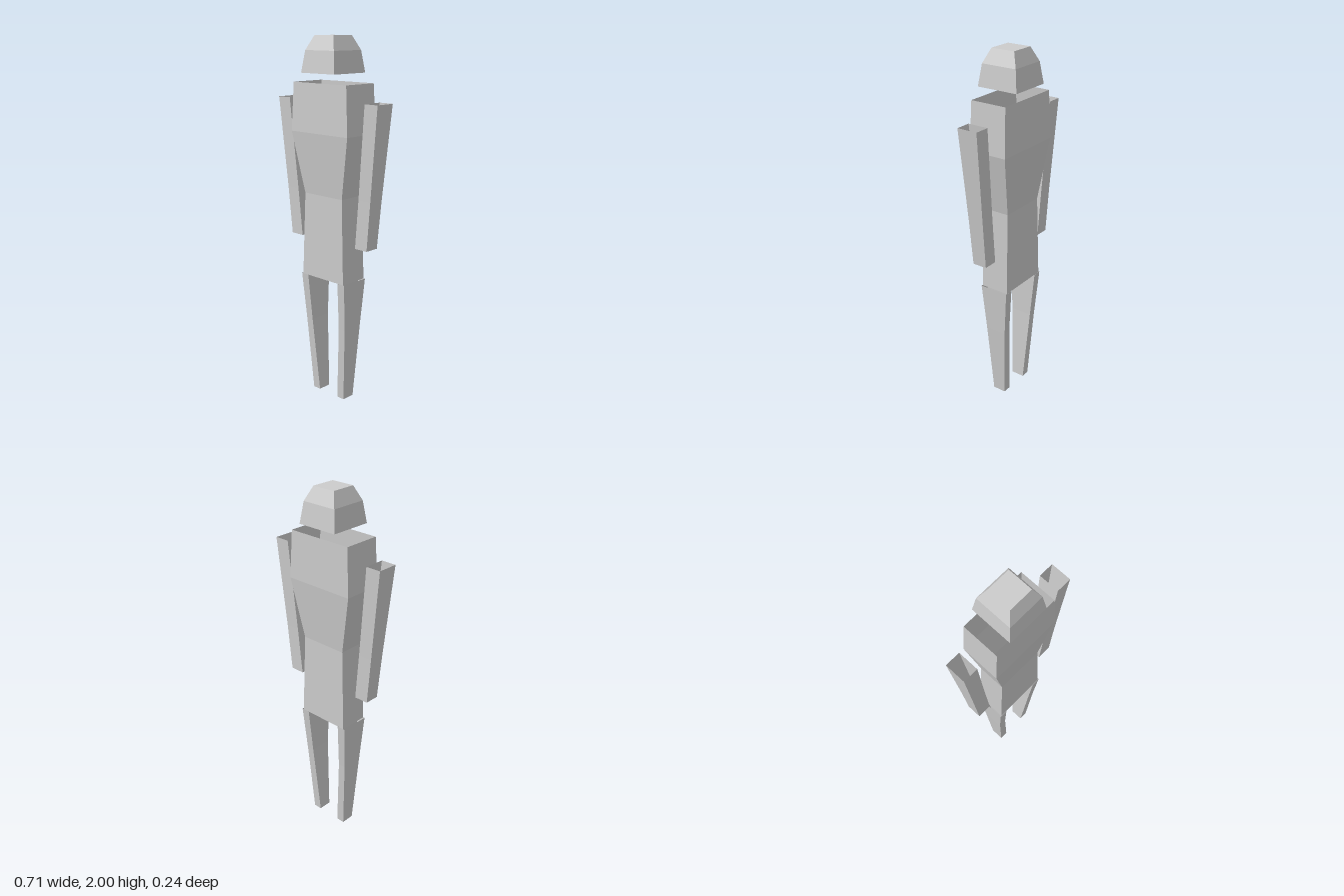
import * as THREE from 'three';

const material = new THREE.MeshStandardMaterial({ color: 0xcccccc, flatShading: true, side: THREE.DoubleSide });

// Square-section shell through rings [y, xMin, xMax, halfDepth], listed bottom to top
function shell(name, rings, capTop = false) {
  const corners = rings.map(([y, x0, x1, d]) => [[x0, y, d], [x1, y, d], [x1, y, -d], [x0, y, -d]]);
  const pos = [];
  const quad = (a, b, c, d) => pos.push(...a, ...b, ...c, ...a, ...c, ...d);
  for (let r = 0; r < corners.length - 1; r++) {
    const lo = corners[r], hi = corners[r + 1];
    for (let i = 0; i < 4; i++) {
      const j = (i + 1) % 4;
      quad(lo[i], lo[j], hi[j], hi[i]);
    }
  }
  if (capTop) quad(...corners[corners.length - 1]);
  const geo = new THREE.BufferGeometry();
  geo.setAttribute('position', new THREE.Float32BufferAttribute(pos, 3));
  geo.computeVertexNormals();
  const mesh = new THREE.Mesh(geo, material);
  mesh.name = name;
  return mesh;
}

const centred = (rings) => rings.map(([y, w, d]) => [y, -w, w, d]);
const mirrored = (rings) => rings.map(([y, x0, x1, d]) => [y, -x1, -x0, d]);

export function createModel() {
  const model = new THREE.Group();
  model.name = 'figure';

  // Head: closed crown, open neck
  model.add(shell('head', centred([
    [1.81, 0.118, 0.118], [1.925, 0.102, 0.102], [2.0, 0.068, 0.068],
  ]), true));

  // Torso: hips, waist, chest, shoulders; open at both ends
  model.add(shell('torso', centred([
    [0.70, 0.152, 0.083], [1.165, 0.136, 0.077], [1.5, 0.203, 0.11], [1.76, 0.189, 0.104],
  ])));

  // Limbs: open tapered tubes, mirrored left to right
  const limbs = {
    Arm: [[0.905, 0.199, 0.28, 0.041], [1.17, 0.224, 0.305, 0.045], [1.67, 0.271, 0.356, 0.058]],
    Leg: [[0, 0.069, 0.117, 0.038], [0.43, 0.102, 0.146, 0.062], [0.70, 0.112, 0.161, 0.084]],
  };
  for (const [part, rings] of Object.entries(limbs)) {
    model.add(shell('left' + part, rings), shell('right' + part, mirrored(rings)));
  }
  return model;
}
